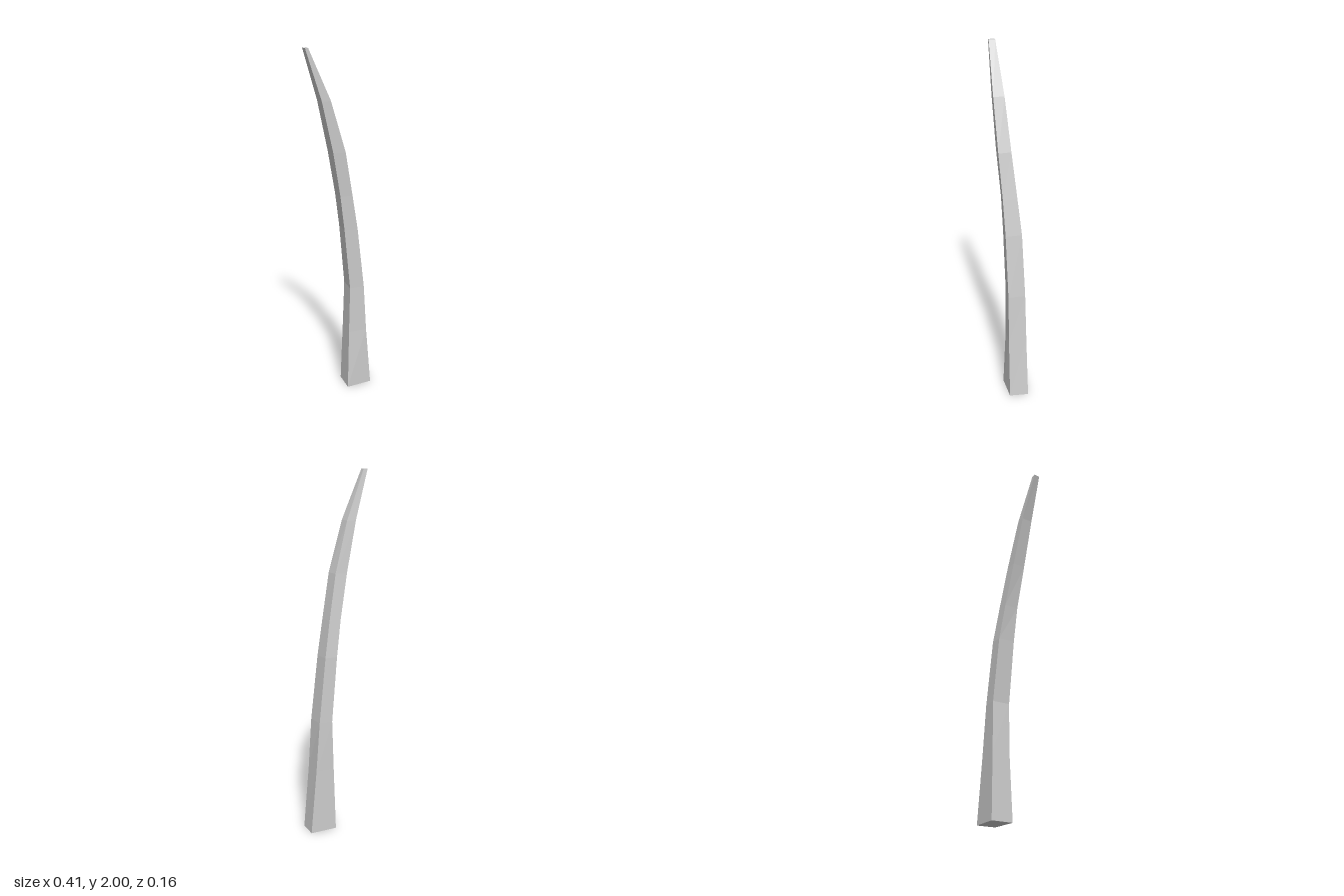
import * as THREE from 'three';

// Cross-sections: height, then x,z of front-right-side, front-left-side, back-left-side, back-right-side corners
const sections = [
  [0.00, 0.05, 0.043, 0.20, 0.027, 0.203, -0.08, 0.05, -0.08],
  [0.36, 0.06, 0.03, 0.168, 0.028, 0.167, -0.073, 0.06, -0.073],
  [0.64, 0.065, 0.03, 0.15, 0.028, 0.143, -0.068, 0.067, -0.069],
  [1.00, 0.027, 0.038, 0.105, 0.036, 0.10, -0.055, 0.03, -0.055],
  [1.20, 0.00, 0.045, 0.07, 0.045, 0.065, -0.035, -0.002, -0.035],
  [1.45, -0.047, 0.063, 0.023, 0.061, 0.016, -0.01, -0.053, -0.01],
  [1.73, -0.113, 0.075, -0.063, 0.073, -0.065, 0.013, -0.118, 0.012],
  [2.00, -0.20, 0.078, -0.183, 0.077, -0.18, 0.043, -0.204, 0.043],
];

// Flat-faced loft through four-cornered sections, capped at both ends
function loft(rows) {
  const positions = [];
  const index = [];
  for (const [y, ...c] of rows) {
    for (let k = 0; k < 4; k++) positions.push(c[2 * k], y, c[2 * k + 1]);
  }
  const quad = (a, b, c, d) => index.push(a, b, c, a, c, d);
  for (let r = 0; r < rows.length - 1; r++) {
    for (let k = 0; k < 4; k++) {
      const n = (k + 1) % 4;
      quad(r * 4 + k, r * 4 + n, r * 4 + 4 + n, r * 4 + 4 + k);
    }
  }
  const t = (rows.length - 1) * 4;
  quad(3, 2, 1, 0);
  quad(t, t + 1, t + 2, t + 3);
  const geometry = new THREE.BufferGeometry();
  geometry.setAttribute('position', new THREE.Float32BufferAttribute(positions, 3));
  geometry.setIndex(index);
  const flat = geometry.toNonIndexed();
  flat.computeVertexNormals();
  return flat;
}

export function createModel() {
  const group = new THREE.Group();
  group.name = 'curvedTusk';
  // Tapering, bent four-sided shaft
  const shaft = new THREE.Mesh(
    loft(sections),
    new THREE.MeshStandardMaterial({ color: 0xcccccc, flatShading: true })
  );
  shaft.name = 'shaft';
  group.add(shaft);
  return group;
}
